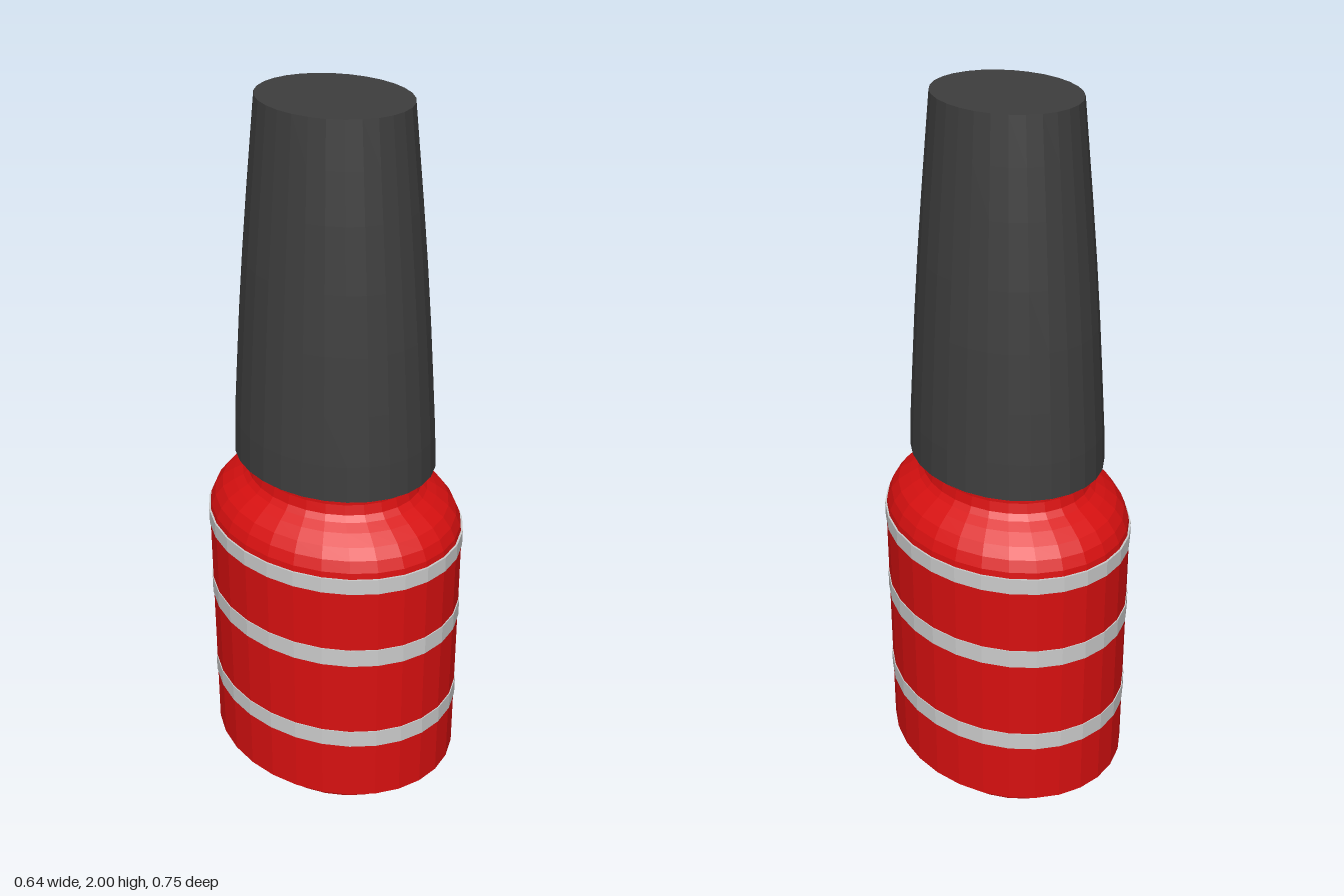
import * as THREE from 'three';

const SIDES = 29;
const PHASE = 0.037;
const FLATTEN = 0.837; // short axis / long axis of the oval section
const TWIST = 0.227; // oval is turned slightly about y

const paint = (color) => new THREE.MeshStandardMaterial({ color, flatShading: true });

// Faceted oval solid from [radius along the long axis, height] pairs, bottom to top
function ovalLathe(name, profile, material) {
  const points = profile.map(([r, y]) => new THREE.Vector2(r, y));
  const geometry = new THREE.LatheGeometry(points, SIDES, PHASE);
  geometry.scale(FLATTEN, 1, 1);
  geometry.rotateY(TWIST);
  const mesh = new THREE.Mesh(geometry, material);
  mesh.name = name;
  return mesh;
}

export function createModel() {
  const model = new THREE.Group();
  model.name = 'nailPolishBottle';
  const red = paint(0xd81010);
  const black = paint(0x3e3e3e);
  const grey = paint(0xcccccc);

  // Bottle: flared foot, straight wall, rounded shoulder and neck
  model.add(ovalLathe('bottle', [
    [0, 0], [0.288, 0], [0.298, 0.02], [0.318, 0.05], [0.348, 0.08],
    [0.377, 0.08], [0.377, 0.81], [0.372, 0.845], [0.358, 0.875],
    [0.335, 0.903], [0.3, 0.927], [0.272, 0.943], [0.257, 0.958],
    [0.25, 0.985], [0.25, 1.018],
  ], red));

  // Red underside closing the cap around the neck
  model.add(ovalLathe('collar', [[0.25, 1.017], [0.292, 1.017]], red));
  model.getObjectByName('collar').material = red.clone();
  model.getObjectByName('collar').material.side = THREE.DoubleSide;

  // Tall tapering cap
  model.add(ovalLathe('cap', [
    [0.293, 1.018], [0.289, 1.12], [0.279, 1.26], [0.267, 1.42],
    [0.253, 1.58], [0.236, 1.75], [0.222, 1.88], [0.209, 2], [0, 2],
  ], black));

  // Thin stripes standing just proud of the wall
  [[0.262, 0.314], [0.545, 0.598], [0.783, 0.828]].forEach(([low, high], i) => {
    model.add(ovalLathe(`stripe${i + 1}`, [
      [0.374, low], [0.38, low], [0.38, high], [0.372, high],
    ], grey));
  });

  return model;
}
